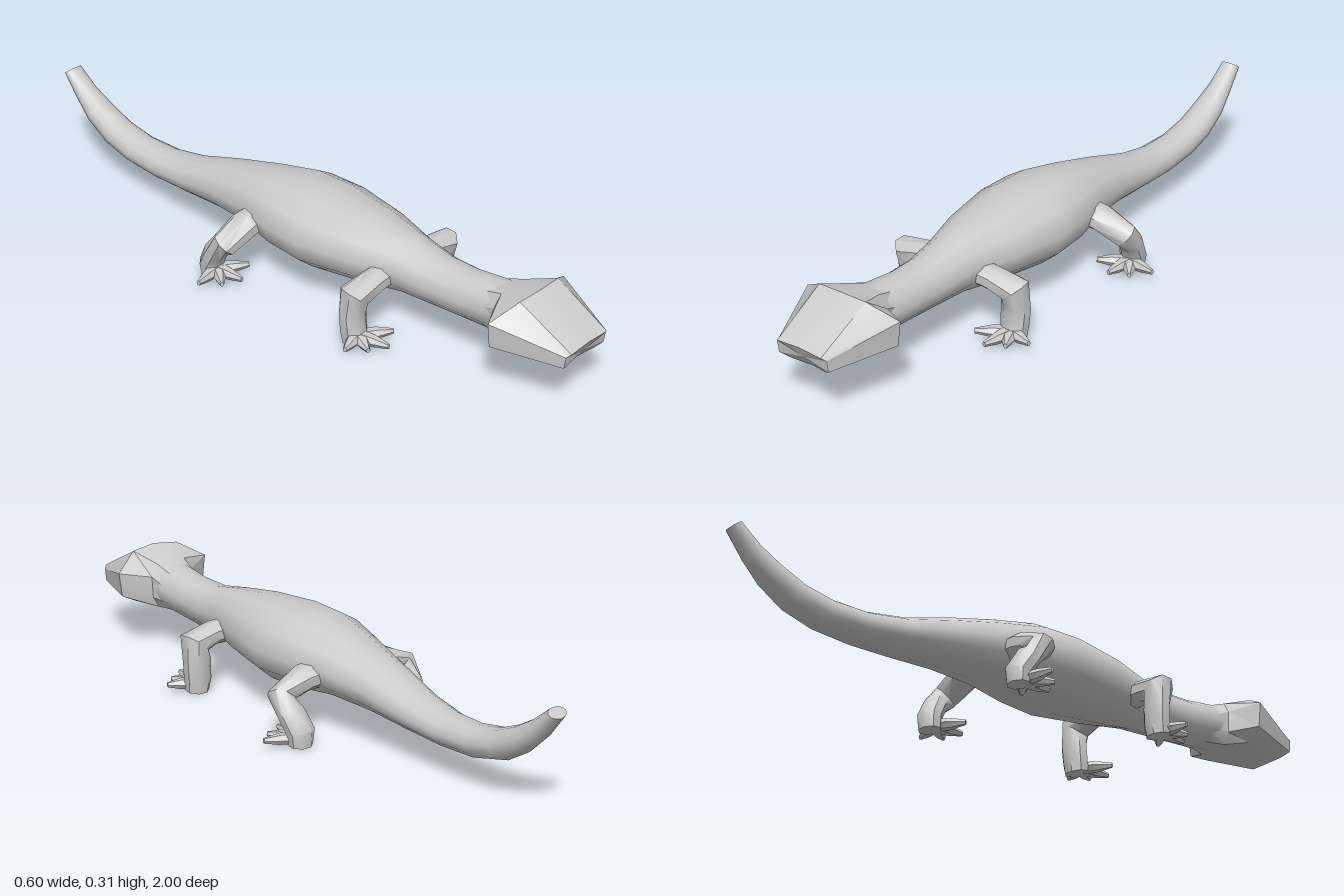
import * as THREE from 'three';
import { toCreasedNormals } from 'three/addons/utils/BufferGeometryUtils.js';

const skin = new THREE.MeshStandardMaterial({ color: 0xcccccc });
skin.name = 'grey skin';

// Closed surface through a list of equal-length rings of [x, y, z], capped at both ends.
function loft(name, rings, crease = 0.6) {
  const n = rings[0].length;
  const pts = rings.flat().map((p) => new THREE.Vector3(...p));
  const tris = [];
  for (let i = 0; i < rings.length - 1; i++) {
    for (let j = 0; j < n; j++) {
      const a = i * n + j, b = i * n + (j + 1) % n;
      tris.push([a, b, a + n], [b, b + n, a + n]);
    }
  }
  for (const [start, flip] of [[0, true], [(rings.length - 1) * n, false]]) {
    const mid = new THREE.Vector3();
    for (let j = 0; j < n; j++) mid.addScaledVector(pts[start + j], 1 / n);
    pts.push(mid);
    const c = pts.length - 1;
    for (let j = 0; j < n; j++) {
      const a = start + j, b = start + (j + 1) % n;
      tris.push(flip ? [b, a, c] : [a, b, c]);
    }
  }
  // A negative enclosed volume means the faces point inwards.
  let volume = 0;
  for (const [a, b, c] of tris) volume += pts[a].dot(pts[b].clone().cross(pts[c]));
  const geo = new THREE.BufferGeometry().setFromPoints(pts);
  geo.setIndex(tris.flatMap(([a, b, c]) => (volume < 0 ? [a, c, b] : [a, b, c])));
  const mesh = new THREE.Mesh(toCreasedNormals(geo, crease), skin);
  mesh.name = name;
  return mesh;
}

// Full ring from a half outline that runs from top centre to bottom centre.
const mirrorRing = (half) => [...half, ...half.slice(1, -1).reverse().map(([x, y, z]) => [-x, y, z])];

// Limb through [x, y, z, radius along ref, radius across].
function limb(name, path, ref, sides, crease) {
  const at = (i) => new THREE.Vector3(...path[i].slice(0, 3));
  const rings = path.map(([, , , ra, rb], i) => {
    const dir = new THREE.Vector3();
    if (i > 0) dir.add(at(i).sub(at(i - 1)).normalize());
    if (i < path.length - 1) dir.add(at(i + 1).sub(at(i)).normalize());
    dir.normalize();
    const u = ref.clone().addScaledVector(dir, -ref.dot(dir)).normalize();
    const v = dir.clone().cross(u);
    return Array.from({ length: sides }, (_, k) => {
      const t = ((k + 0.5) / sides) * Math.PI * 2;
      return at(i).addScaledVector(u, ra * Math.cos(t)).addScaledVector(v, rb * Math.sin(t)).toArray();
    });
  });
  return loft(name, rings, crease);
}

const Y = new THREE.Vector3(0, 1, 0), Z = new THREE.Vector3(0, 0, 1);

// Body and tail stations: top z, top y, bottom z, bottom y, half width
const STATIONS = [
  [0.76, 0.265, 0.76, 0.117, 0.07], [0.6, 0.245, 0.6, 0.11, 0.071],
  [0.5, 0.245, 0.5, 0.105, 0.075], [0.4, 0.265, 0.4, 0.1, 0.085],
  [0.27, 0.284, 0.27, 0.083, 0.125], [0.1, 0.297, 0.1, 0.065, 0.157],
  [-0.02, 0.296, -0.02, 0.074, 0.152], [-0.15, 0.272, -0.15, 0.09, 0.118],
  [-0.3, 0.235, -0.3, 0.09, 0.09], [-0.45, 0.19, -0.45, 0.082, 0.072],
  [-0.57, 0.17, -0.58, 0.078, 0.062], [-0.68, 0.172, -0.71, 0.085, 0.055],
  [-0.77, 0.19, -0.81, 0.112, 0.051], [-0.85, 0.225, -0.89, 0.162, 0.046],
  [-0.91, 0.262, -0.945, 0.215, 0.036], [-0.97, 0.31, -1, 0.287, 0.03],
];
// Unit half section: across, height
const SECTION = [[0, 1], [0.45, 0.93], [0.83, 0.62], [1, 0.1], [0.9, -0.4], [0.55, -0.8], [0, -1]];

// Head half outlines from neck to snout
const HEAD = [
  [[0, 0.25, 0.68], [0.04, 0.24, 0.68], [0.06, 0.2, 0.68], [0.055, 0.15, 0.68], [0.03, 0.125, 0.68], [0, 0.12, 0.68]],
  [[0, 0.267, 0.745], [0.05, 0.262, 0.745], [0.073, 0.225, 0.74], [0.07, 0.16, 0.74], [0.05, 0.125, 0.74], [0, 0.115, 0.74]],
  [[0, 0.296, 0.84], [0.08, 0.288, 0.83], [0.16, 0.24, 0.79], [0.15, 0.165, 0.79], [0.09, 0.135, 0.8], [0, 0.12, 0.8]],
  [[0, 0.205, 1], [0.075, 0.2, 1], [0.085, 0.19, 0.99], [0.085, 0.155, 0.985], [0.06, 0.14, 0.97], [0, 0.128, 0.95]],
];

// Leg paths on the +x side, with foot and toe tips
const LEGS = [
  {
    name: 'front',
    path: [[0.05, 0.165, 0.35, 0.04, 0.035], [0.12, 0.163, 0.355, 0.04, 0.035], [0.185, 0.147, 0.35, 0.043, 0.05],
      [0.183, 0.09, 0.342, 0.035, 0.044], [0.18, 0.035, 0.345, 0.036, 0.042], [0.18, 0.002, 0.35, 0.036, 0.038]],
    palm: [0.18, 0.02, 0.36],
    toes: [[0.26, 0.022, 0.385], [0.215, 0.018, 0.43], [0.165, 0.02, 0.46], [0.1, 0.022, 0.42]],
  },
  {
    name: 'hind',
    path: [[0.05, 0.17, -0.11, 0.05, 0.04], [0.14, 0.163, -0.11, 0.048, 0.038], [0.218, 0.13, -0.115, 0.038, 0.04],
      [0.212, 0.09, -0.155, 0.034, 0.04], [0.2, 0.04, -0.184, 0.034, 0.042], [0.2, 0.002, -0.182, 0.032, 0.036]],
    palm: [0.2, 0.02, -0.165],
    toes: [[0.297, 0.024, -0.142], [0.25, 0.018, -0.095], [0.195, 0.02, -0.07], [0.125, 0.022, -0.11]],
  },
];

function makeLeg({ name, path, palm, toes }, side, label) {
  const leg = new THREE.Group();
  leg.name = label + name[0].toUpperCase() + name.slice(1) + 'Leg';
  const flip = ([x, ...rest]) => [x * side, ...rest];
  leg.add(limb('limb', path.map(flip), Z, 8, 0.75));
  // Tapered toes spreading from the palm
  toes.forEach((tip, i) => {
    const mid = palm.map((p, k) => p + (tip[k] - p) * 0.55);
    const toe = [[...palm, 0.018, 0.026], [...mid, 0.016, 0.018], [...tip, 0.008, 0.006]];
    leg.add(limb('toe' + (i + 1), toe.map(flip), Y, 6, 0.75));
  });
  return leg;
}

export function createModel() {
  const model = new THREE.Group();
  model.name = 'lizard';

  const bodyRings = STATIONS.map(([zt, yt, zb, yb, w]) => mirrorRing(SECTION.map(([x, h]) => {
    const t = (h + 1) / 2;
    return [x * w, yb + (yt - yb) * t, zb + (zt - zb) * t];
  })));
  model.add(loft('bodyAndTail', bodyRings, 0.9));
  model.add(loft('head', HEAD.map(mirrorRing), 0.45));

  for (const leg of LEGS) model.add(makeLeg(leg, 1, 'left'), makeLeg(leg, -1, 'right'));
  return model;
}
